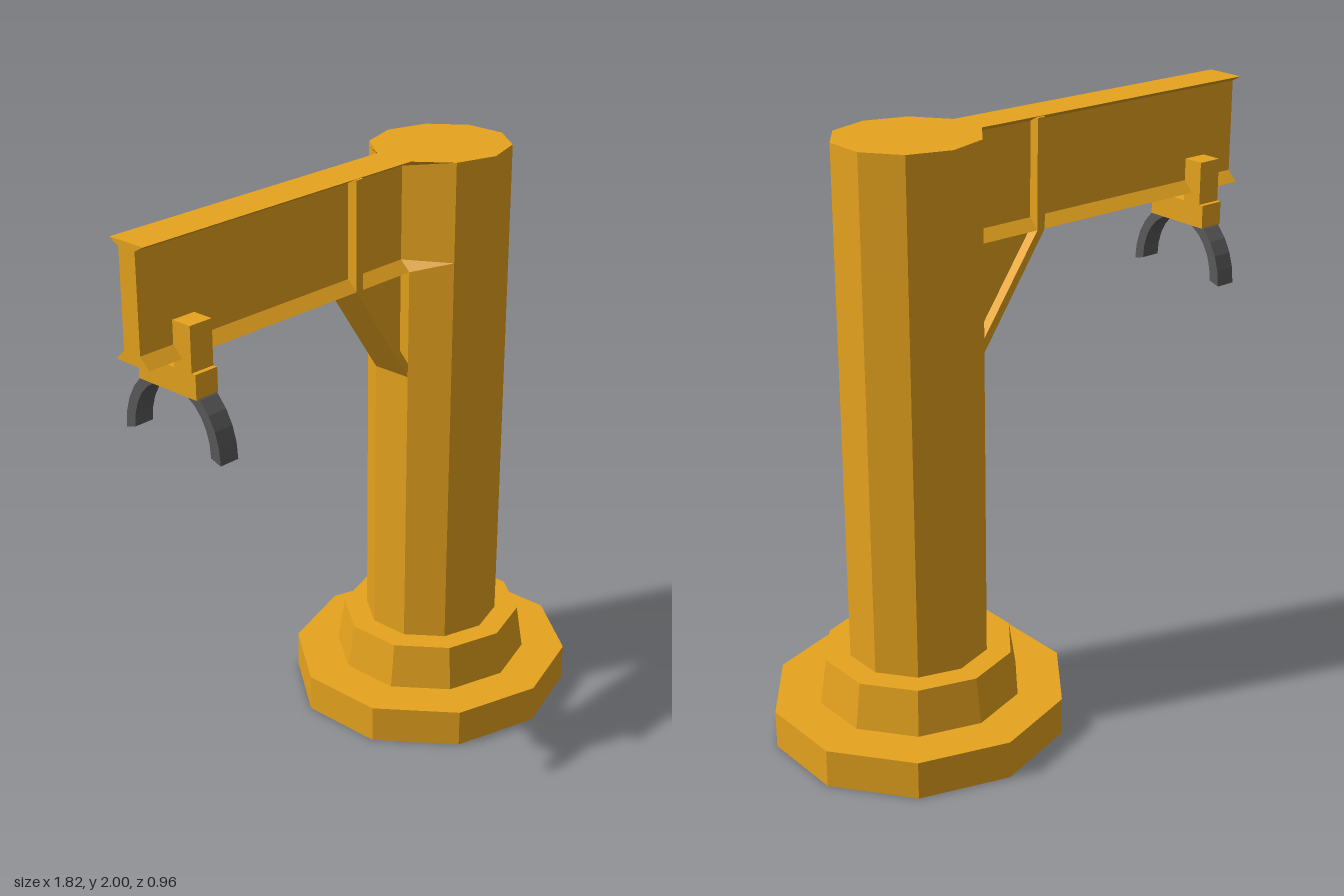
import * as THREE from 'three';

const CX = 0.4275;      // column axis
const FACE = 0.2;       // flat of the column that carries the beam
const FLANGE = 0.07;    // half width of flanges
const WEB = 0.034;      // half width of webs
const BOTTOM = 1.635;   // underside of the beam

const yellow = new THREE.MeshStandardMaterial({ color: 0xe6a31e, flatShading: true });
const steel = new THREE.MeshStandardMaterial({ color: 0x5a5a5a, flatShading: true });

export function createModel() {
  const model = new THREE.Group();

  const add = (name, geometry, material = yellow) => {
    const mesh = new THREE.Mesh(geometry, material);
    mesh.name = name;
    model.add(mesh);
    return mesh;
  };

  const box = (name, x0, x1, y0, y1, z0, z1) =>
    add(name, new THREE.BoxGeometry(x1 - x0, y1 - y0, z1 - z0))
      .position.set((x0 + x1) / 2, (y0 + y1) / 2, (z0 + z1) / 2);

  // Ten-sided drum, as wide as it is deep; sizes are half widths
  const drum = (top, bottom, y0, y1, rows = 1) => {
    const k = Math.cos(Math.PI / 10);
    return new THREE.CylinderGeometry(top / k, bottom / k, y1 - y0, 10, rows)
      .scale(1, 1, k).translate(CX, (y0 + y1) / 2, 0);
  };

  // Outline in x and y, extruded evenly about z = 0
  const plate = (name, points, half) => {
    const shape = new THREE.Shape(points.map(p => new THREE.Vector2(...p)));
    add(name, new THREE.ExtrudeGeometry(shape, { depth: 2 * half, bevelEnabled: false })
      .translate(0, 0, -half));
  };

  // Foot
  add('base', drum(0.4775, 0.4775, 0, 0.13));
  add('collar', drum(0.307, 0.33, 0.13, 0.285));

  // Column: its two corners beside the beam are drawn in to meet the web
  const levels = [0.1, BOTTOM, 1.67, 1.98, 2];
  const column = drum(0.2275, 0.2275, 0, 2, 4);
  const pos = column.attributes.position;
  for (let i = 0; i < pos.count; i++) {
    const row = Math.round(pos.getY(i) * 2);
    pos.setY(i, levels[row]);
    const besideBeam = pos.getX(i) < FACE + 0.01;
    if (besideBeam && (row === 2 || row === 3)) pos.setZ(i, Math.sign(pos.getZ(i)) * WEB);
  }
  add('column', column);

  // Beam: I section with tapered flanges
  const half = [[FLANGE, BOTTOM], [WEB, 1.67], [WEB, 1.98], [FLANGE, 2]];
  const section = [...half, ...half.map(([z, y]) => [-z, y]).reverse()];
  const beamShape = new THREE.Shape(section.map(p => new THREE.Vector2(...p)));
  add('beam', new THREE.ExtrudeGeometry(beamShape, { depth: FACE + 0.91, bevelEnabled: false })
    .rotateY(-Math.PI / 2).translate(FACE, 0, 0));

  // Stiffener and diagonal brace under the beam
  for (const s of [-1, 1]) {
    const z = [s * WEB * 0.9, s * FLANGE].sort((a, b) => a - b);
    box('stiffener', -0.05, -0.02, BOTTOM, 1.995, ...z);
  }
  plate('braceWeb', [[-0.03, BOTTOM], [FACE, 1.3], [FACE, BOTTOM]], WEB);
  plate('braceFlange', [[-0.05, BOTTOM], [FACE, 1.27], [FACE, 1.318], [-0.02, BOTTOM]], FLANGE);

  // Trolley gripping the lower flange
  box('trolleyBar', -0.785, -0.7, 1.52, 1.6, -0.123, 0.123);
  box('trolleyArmLeft', -0.785, -0.7, 1.6, 1.745, WEB, 0.107);
  box('trolleyArmRight', -0.785, -0.7, 1.6, 1.745, -0.107, -WEB);

  // Claw: arched band hanging from the trolley, drawn across z and y
  const arch = [];
  const N = 14;
  for (let i = 0; i <= N; i++) {
    const a = Math.PI * i / N;
    arch.push(new THREE.Vector2(0.205 * Math.cos(a), 0.235 * Math.sin(a)));
  }
  for (let i = N; i >= 0; i--) {
    const a = Math.PI * i / N;
    arch.push(new THREE.Vector2(0.165 * Math.cos(a), 0.195 * Math.sin(a) + 0.012 * Math.abs(Math.cos(a))));
  }
  add('claw', new THREE.ExtrudeGeometry(new THREE.Shape(arch), { depth: 0.07, bevelEnabled: false })
    .rotateY(-Math.PI / 2).translate(-0.705, 1.335, 0), steel);

  // Settle the column's foot on the ground
  for (let i = 0; i < pos.count; i++) if (pos.getY(i) < 0.2) pos.setY(i, 0.05);
  return model;
}
